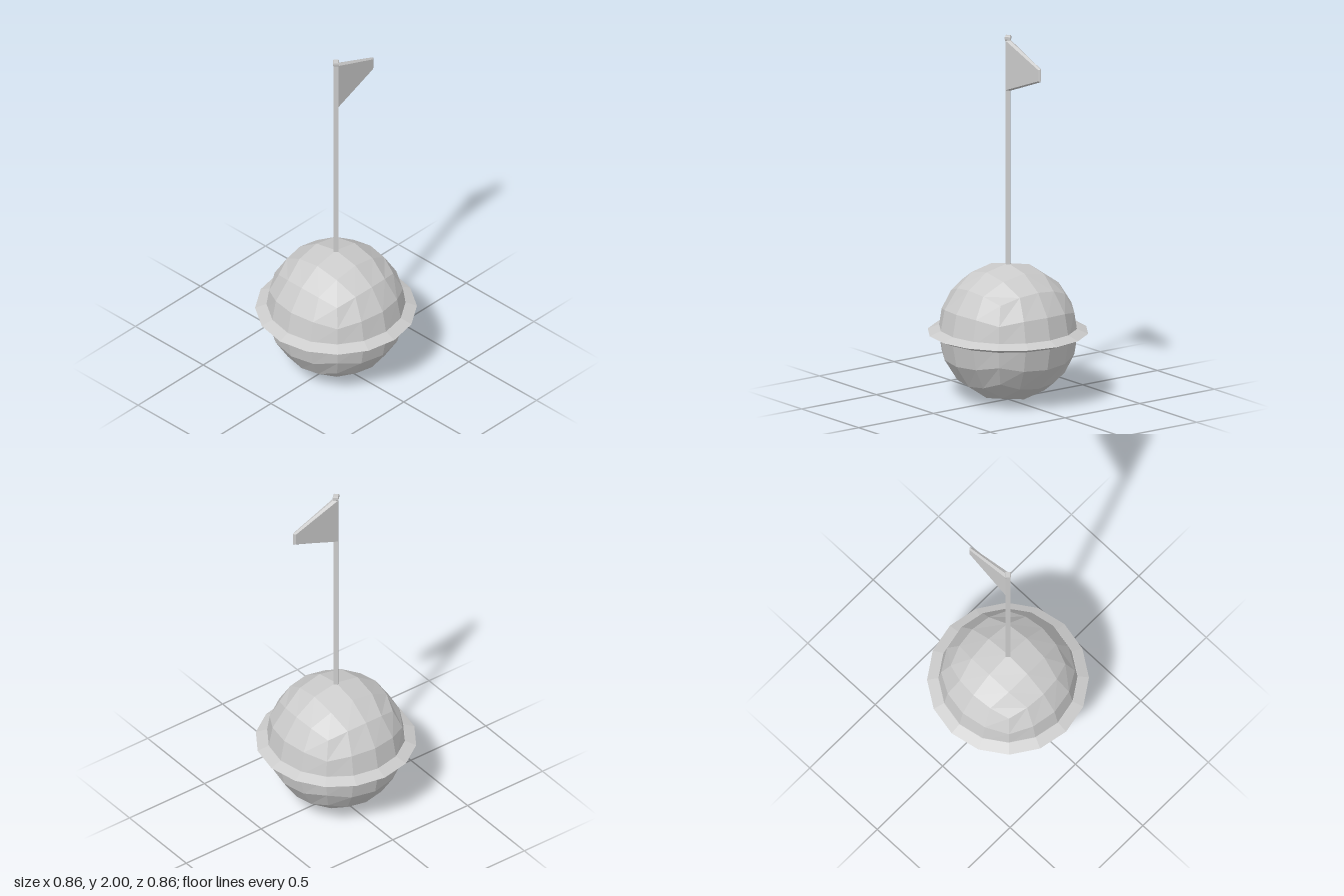
import * as THREE from 'three';

const material = new THREE.MeshStandardMaterial({ color: 0xcccccc, flatShading: true });

function addPart(group, name, geometry) {
  const mesh = new THREE.Mesh(geometry, material);
  mesh.name = name;
  group.add(mesh);
  return mesh;
}

function fromTriangles(points) {
  const g = new THREE.BufferGeometry().setFromPoints(points);
  g.computeVertexNormals();
  return g;
}

// Four-sided or many-sided turned part from [radius, y] pairs, bottom to top
function turned(profile, sides) {
  return new THREE.LatheGeometry(profile.map(([r, y]) => new THREE.Vector2(r, y)), sides);
}

// Cube whose faces are split repeatedly, each new point pushed out to the sphere
function quadSphere(radius, levels) {
  const out = [];
  const mid = (...p) => p.reduce((s, v) => s.add(v), new THREE.Vector3()).normalize();
  function split(a, b, c, d, level) {
    if (level === 0) {
      for (const p of [a, b, c, a, c, d]) out.push(p.clone().multiplyScalar(radius));
      return;
    }
    const ab = mid(a, b), bc = mid(b, c), cd = mid(c, d), da = mid(d, a), m = mid(a, b, c, d);
    split(a, ab, m, da, level - 1);
    split(ab, b, bc, m, level - 1);
    split(m, bc, c, cd, level - 1);
    split(da, m, cd, d, level - 1);
  }
  const turns = [[0, 0], [0, 1], [0, 2], [0, 3], [1, 0], [-1, 0]];
  for (const [rx, ry] of turns) {
    const e = new THREE.Euler(rx * Math.PI / 2, ry * Math.PI / 2, 0);
    const corners = [[-1, -1], [1, -1], [1, 1], [-1, 1]].map(
      ([x, y]) => new THREE.Vector3(x, y, 1).normalize().applyEuler(e));
    split(...corners, levels);
  }
  return fromTriangles(out);
}

// Tapered pennant: six-point sections with a ridge along the top and bottom edges
function pennant() {
  const section = (x, top, bottom, bevel, z) => [
    [top, 0], [top - bevel, z], [bottom + bevel, z],
    [bottom, 0], [bottom + bevel, -z], [top - bevel, -z],
  ].map(([y, w]) => new THREE.Vector3(x, y, w));
  const sections = [
    section(0, 1.983, 1.692, 0.009, 0.017),
    section(0.275, 1.877, 1.797, 0.008, 0.010),
    section(0.286, 1.872, 1.802, 0.003, 0.001),
  ];
  const out = [];
  for (let s = 0; s < sections.length - 1; s++) {
    const p = sections[s], q = sections[s + 1];
    for (let i = 0; i < 6; i++) {
      const j = (i + 1) % 6;
      out.push(p[i], p[j], q[j], p[i], q[j], q[i]);
    }
  }
  // End caps
  const first = sections[0], last = sections[sections.length - 1];
  for (let i = 1; i < 5; i++) {
    out.push(last[0], last[i], last[i + 1]);
    out.push(first[0], first[i + 1], first[i]);
  }
  return fromTriangles(out);
}

export function createModel() {
  const model = new THREE.Group();
  model.name = 'flagBuoy';

  // Round float
  addPart(model, 'float', quadSphere(0.374, 2)).position.y = 0.374;

  // Sharp-edged collar around the middle
  addPart(model, 'collar', turned([[0.36, 0.35], [0.372, 0.35], [0.431, 0.374], [0.372, 0.398], [0.36, 0.398]], 16));

  // Square mast and its cap
  addPart(model, 'mast', turned([[0, 0.7], [0.018, 0.7], [0.018, 1.98], [0, 1.98]], 4));
  addPart(model, 'mastCap', turned([[0, 1.972], [0.018, 1.972], [0.022, 1.98], [0.022, 1.994], [0.018, 2], [0, 2]], 4));

  // Flag
  addPart(model, 'flag', pennant());
  return model;
}
